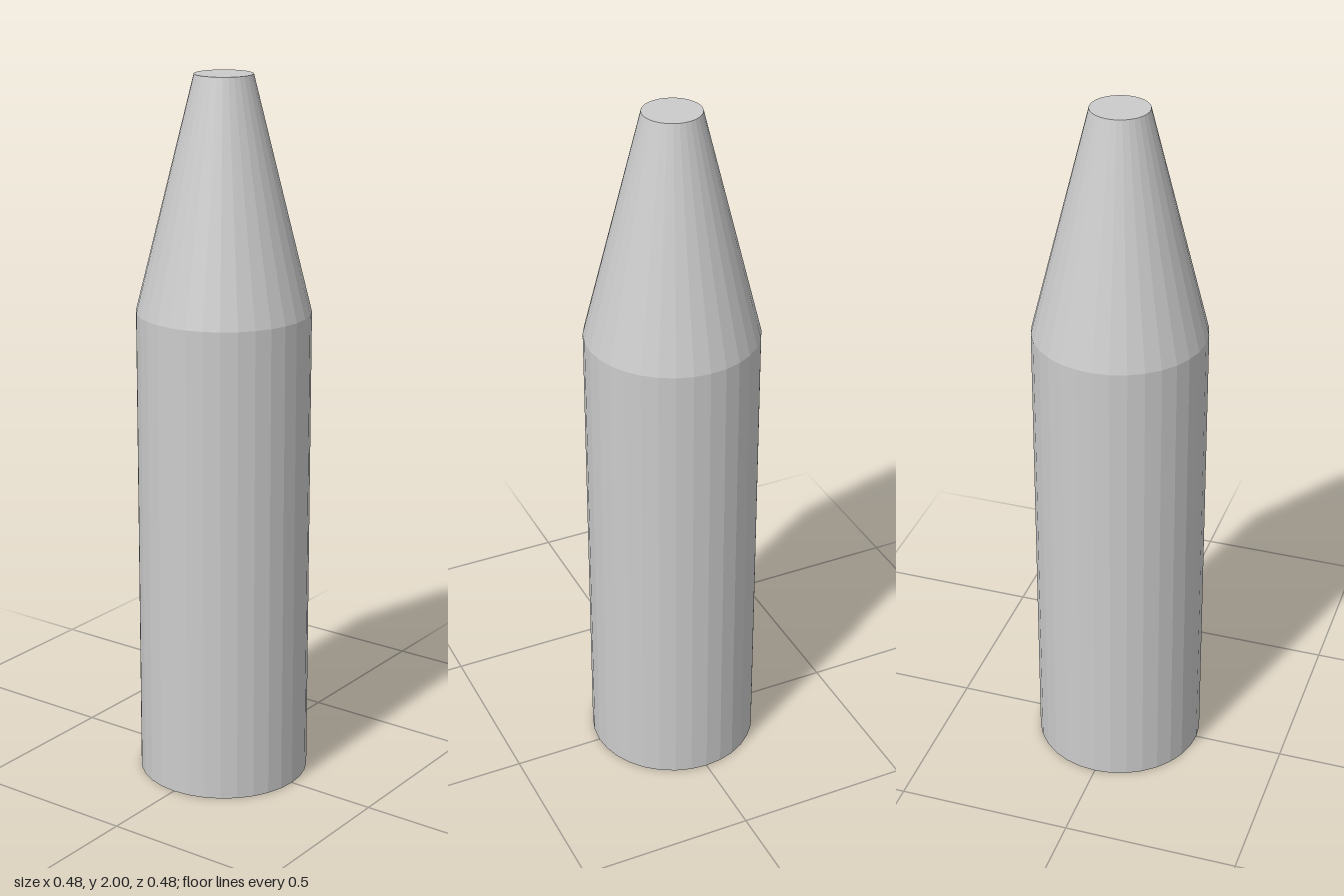
import * as THREE from 'three';

const SIDES = 32;
const RADIUS = 0.241;
const TIP_RADIUS = 0.08;
const SHOULDER = 1.355; // height where the taper begins
const HEIGHT = 2;

export function createModel() {
  const group = new THREE.Group();
  group.name = 'taperedCylinder';
  const material = new THREE.MeshStandardMaterial({ color: 0xcccccc, flatShading: true });

  // One faceted section between two heights
  const addSection = (name, rTop, rBottom, y0, y1, open) => {
    const geometry = new THREE.CylinderGeometry(rTop, rBottom, y1 - y0, SIDES, 1, open);
    const mesh = new THREE.Mesh(geometry, material);
    mesh.name = name;
    mesh.position.y = (y0 + y1) / 2;
    group.add(mesh);
  };

  // Straight body and tapered nose, open where they meet
  addSection('body', RADIUS, RADIUS, 0, SHOULDER, true);
  addSection('nose', TIP_RADIUS, RADIUS, SHOULDER, HEIGHT, true);

  // Flat end caps
  const addCap = (name, radius, y, turn) => {
    const cap = new THREE.Mesh(new THREE.CircleGeometry(radius, SIDES), material);
    cap.name = name;
    cap.position.y = y;
    cap.rotation.x = turn;
    group.add(cap);
  };
  addCap('base', RADIUS, 0, Math.PI / 2);
  addCap('tip', TIP_RADIUS, HEIGHT, -Math.PI / 2);

  return group;
}
